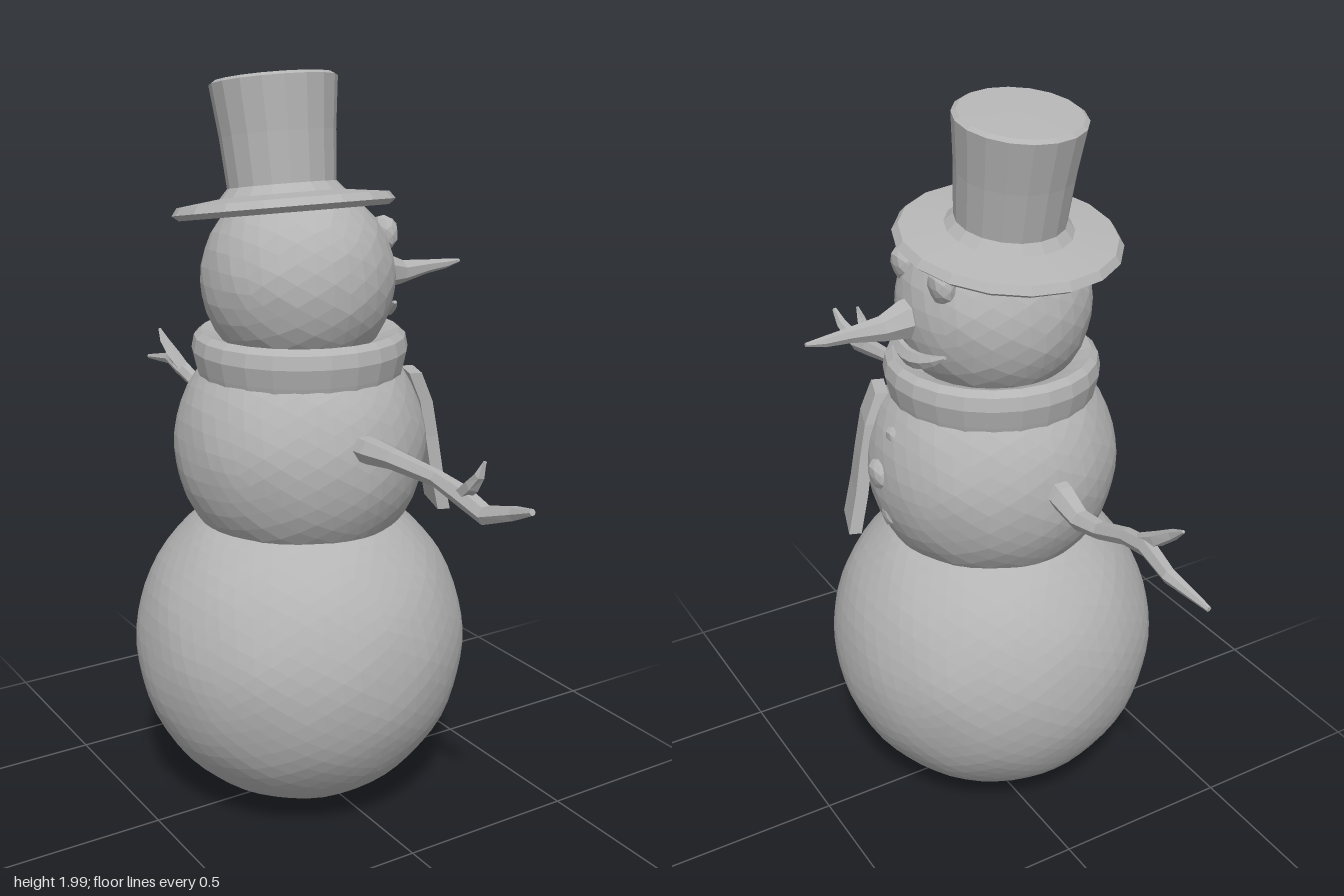
import * as THREE from 'three';

const grey = new THREE.MeshStandardMaterial({ color: 0xb4b4b4 });
grey.name = 'plain grey';

// Faceted mesh with one normal per face
function part(name, geometry, parent, x = 0, y = 0, z = 0) {
  const g = geometry.index ? geometry.toNonIndexed() : geometry;
  g.computeVertexNormals();
  const mesh = new THREE.Mesh(g, grey);
  mesh.name = name;
  mesh.position.set(x, y, z);
  parent.add(mesh);
  return mesh;
}

// Ball with a slightly uneven, hand-packed surface
function ball(radius, detail, bump = 0.003) {
  const g = new THREE.IcosahedronGeometry(radius, detail);
  const p = g.attributes.position, v = new THREE.Vector3();
  for (let i = 0; i < p.count; i++) {
    v.fromBufferAttribute(p, i);
    const n = v.clone().multiplyScalar(9 / radius);
    v.setLength(radius + bump * Math.sin(n.x + 1.3) * Math.sin(n.y + 0.4) * Math.cos(n.z));
    p.setXYZ(i, v.x, v.y, v.z);
  }
  return g;
}

// Closed skin over rings that run counterclockwise about the direction of travel
function loft(rings) {
  const pos = [], n = rings[0].length;
  const tri = (...pts) => pts.forEach(p => pos.push(p.x, p.y, p.z));
  const middle = ring => ring.reduce((s, p) => s.add(p), new THREE.Vector3()).divideScalar(n);
  const last = rings[rings.length - 1], start = middle(rings[0]), end = middle(last);
  for (let j = 0; j < n; j++) {
    const k = (j + 1) % n;
    for (let i = 0; i < rings.length - 1; i++) {
      const a = rings[i], b = rings[i + 1];
      tri(a[j], a[k], b[k]);
      tri(a[j], b[k], b[j]);
    }
    tri(start, rings[0][k], rings[0][j]);
    tri(end, last[j], last[k]);
  }
  const g = new THREE.BufferGeometry();
  g.setAttribute('position', new THREE.Float32BufferAttribute(pos, 3));
  return g;
}

// Tapered limb through stations [x, y, z, radius]
function limb(stations, sides = 6) {
  const pts = stations.map(s => new THREE.Vector3(s[0], s[1], s[2]));
  return loft(pts.map((p, i) => {
    const t = pts[Math.min(i + 1, pts.length - 1)].clone().sub(pts[Math.max(i - 1, 0)]).normalize();
    const up = Math.abs(t.y) > 0.9 ? new THREE.Vector3(1, 0, 0) : new THREE.Vector3(0, 1, 0);
    const u = up.cross(t).normalize(), v = t.clone().cross(u);
    return Array.from({ length: sides }, (_, j) => {
      const a = j / sides * Math.PI * 2, r = stations[i][3];
      return p.clone().addScaledVector(u, r * Math.cos(a)).addScaledVector(v, r * Math.sin(a));
    });
  }));
}

const lathe = (profile, sides) =>
  new THREE.LatheGeometry(profile.map(([r, y]) => new THREE.Vector2(r, y)), sides);

export function createModel() {
  const root = new THREE.Group();
  root.name = 'snowman';

  // Snowballs
  part('lowerBall', ball(0.456, 10), root, -0.045, 0.459, 0);
  part('middleBall', ball(0.34, 7), root, -0.04, 1.02, -0.003);
  const head = [-0.045, 1.465, -0.003], headRadius = 0.256;
  part('head', ball(headRadius, 5), root, ...head);
  const faceX = (y, z) =>
    head[0] + Math.sqrt(headRadius ** 2 - (y - head[1]) ** 2 - (z - head[2]) ** 2);

  // Scarf collar
  part('scarfCollar', lathe([[0.2, 1.2], [0.268, 1.205], [0.276, 1.235], [0.287, 1.285],
    [0.28, 1.32], [0.262, 1.335], [0.235, 1.325], [0.2, 1.31]], 24), root, -0.04, 0, -0.003);

  // Hanging scarf end: y, centre x, half width
  const out = new THREE.Vector3(0.94, 0, 0.34), side = new THREE.Vector3(-0.34, 0, 0.94);
  part('scarfTail', loft([[1.22, 0.215, 0.045], [1.14, 0.25, 0.052], [1.04, 0.27, 0.055],
    [0.94, 0.287, 0.062], [0.83, 0.312, 0.067]].map(([y, x, w]) =>
    [[1, 1], [-1, 1], [-1, -1], [1, -1]].map(([a, b]) => new THREE.Vector3(x, y, 0.15)
      .addScaledVector(out, a * 0.017).addScaledVector(side, b * w)))), root);

  // Tilted top hat
  const hat = part('topHat', lathe([[0, -0.02], [0.275, -0.022], [0.293, -0.008], [0.278, 0.012],
    [0.165, 0.026], [0.143, 0.05], [0.152, 0.18], [0.167, 0.315], [0.155, 0.323], [0, 0.325]], 18),
  root, -0.06, 1.655, -0.05);
  hat.rotation.x = -0.155;

  // Carrot nose
  part('nose', limb([[0.17, 1.465, 0.005, 0.055], [0.215, 1.464, 0.005, 0.05],
    [0.28, 1.455, 0, 0.033], [0.37, 1.46, -0.006, 0.02], [0.44, 1.461, -0.012, 0.014],
    [0.49, 1.465, -0.014, 0.005]], 7), root);

  // Eyes
  for (const [name, z] of [['rightEye', 0.085], ['leftEye', -0.1]]) {
    const eye = part(name, ball(0.047, 1, 0.006), root, faceX(1.58, z) - 0.002, 1.58, z);
    eye.scale.x = 0.7;
  }

  // Smile
  const smile = [];
  for (let i = -4; i <= 4; i++) {
    const z = i * 0.034, y = 1.364 + 0.04 * (i / 4) ** 2;
    smile.push([faceX(y, z) + 0.008, y, z, 0.005 + 0.021 * (1 - (i / 4) ** 2)]);
  }
  part('mouth', limb(smile, 6), root);

  // Buttons
  [[1.15, -0.01, 0.258, 0.03], [1.04, 0.015, 0.292, 0.042], [0.92, -0.005, 0.275, 0.03]]
    .forEach(([y, z, x, r], i) => {
      part('button' + (i + 1), ball(r, 1, 0.006), root, x, y, z).scale.x = 0.6;
    });

  // Stick arms with forked ends
  const rightArm = new THREE.Group(), leftArm = new THREE.Group();
  rightArm.name = 'rightArm';
  leftArm.name = 'leftArm';
  root.add(rightArm, leftArm);
  part('rightBranch', limb([[-0.05, 1.085, 0.28, 0.036], [-0.052, 1.087, 0.36, 0.034],
    [-0.048, 1.09, 0.45, 0.026], [-0.028, 1.08, 0.6, 0.021], [-0.028, 1.065, 0.7, 0.026],
    [-0.03, 1.045, 0.79, 0.024], [-0.022, 1.075, 0.88, 0.018], [-0.03, 1.1, 0.95, 0.008]]), rightArm);
  part('rightTwig', limb([[-0.03, 1.06, 0.69, 0.018], [-0.034, 1.105, 0.745, 0.019],
    [-0.035, 1.135, 0.77, 0.013], [-0.03, 1.17, 0.782, 0.004]], 5), rightArm);
  part('leftBranch', limb([[-0.045, 1.06, -0.28, 0.04], [-0.045, 1.05, -0.35, 0.037],
    [-0.045, 1.025, -0.43, 0.029], [-0.05, 1.035, -0.51, 0.023], [-0.055, 1.07, -0.61, 0.022],
    [-0.05, 1.088, -0.7, 0.024], [-0.022, 1.085, -0.82, 0.019], [-0.035, 1.066, -0.95, 0.007]]), leftArm);
  part('leftTwig', limb([[-0.053, 1.08, -0.65, 0.018], [-0.06, 1.118, -0.72, 0.02],
    [-0.066, 1.155, -0.77, 0.014], [-0.062, 1.185, -0.81, 0.004]], 5), leftArm);

  return root;
}
